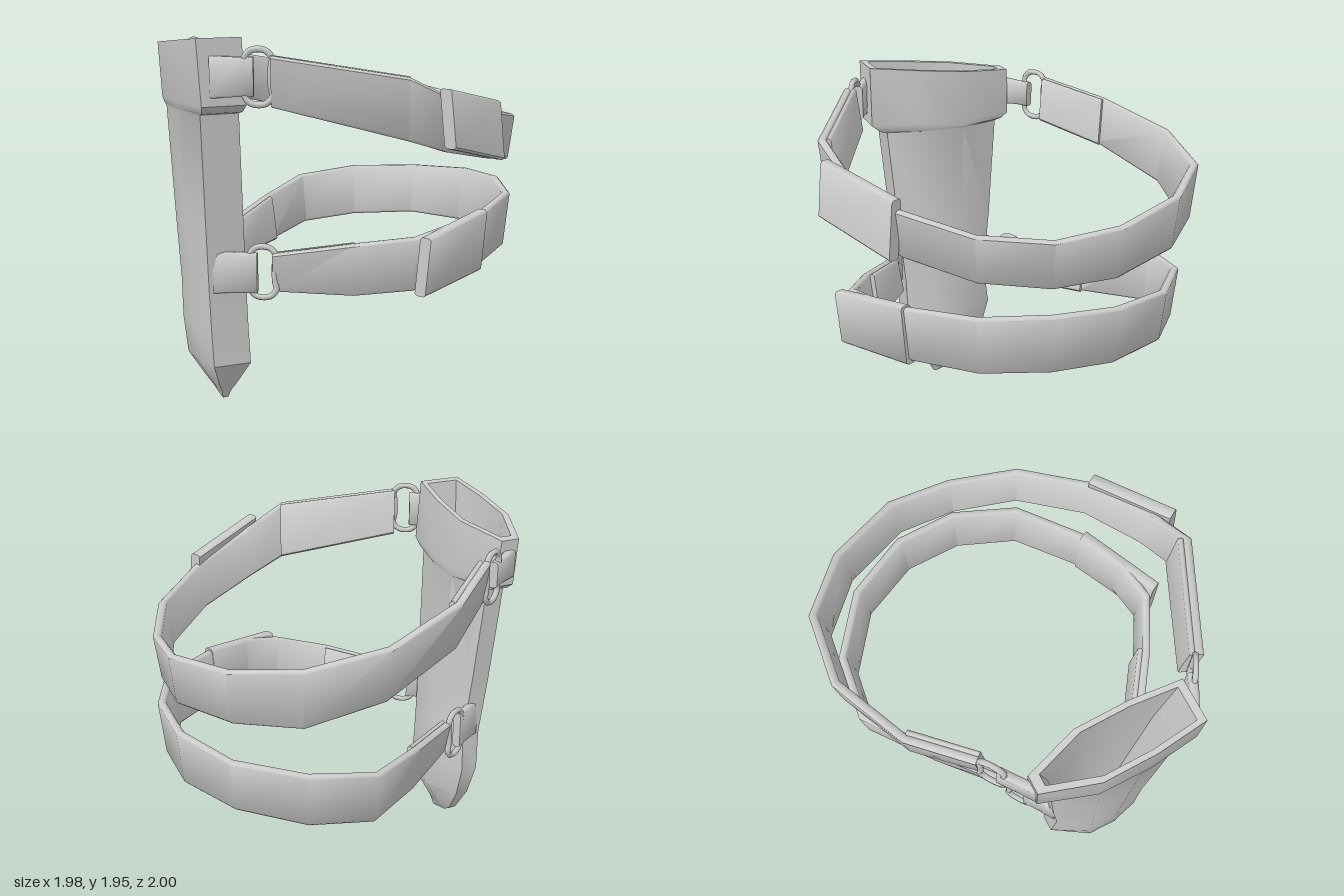
import * as THREE from 'three';
import { toCreasedNormals } from 'three/addons/utils/BufferGeometryUtils.js';

const material = new THREE.MeshStandardMaterial({ color: 0xcccccc });

// Skin a list of equal-length point loops, with a cap at each end
function loft(name, rings, crease) {
  const n = rings[0].length, index = [], last = (rings.length - 1) * n;
  for (let i = 0; i < rings.length - 1; i++) {
    for (let k = 0; k < n; k++) {
      const a = i * n + k, b = i * n + (k + 1) % n, c = b + n, d = a + n;
      index.push(a, c, b, a, d, c);
    }
  }
  for (let k = 1; k < n - 1; k++) {
    index.push(0, k, k + 1, last, last + k + 1, last + k);
  }
  const geometry = new THREE.BufferGeometry();
  geometry.setAttribute('position', new THREE.Float32BufferAttribute(rings.flat(2), 3));
  geometry.setIndex(index);
  const mesh = new THREE.Mesh(toCreasedNormals(geometry, crease), material);
  mesh.name = name;
  return mesh;
}

// Soft-edged band along rows of [x, z, top, bottom];
// lean moves its lower edge inward, inset moves the whole band inward
function band(name, rows, thickness, lean = 0, inset = 0) {
  const bevel = 0.012;
  const rings = rows.map(([x, z, top, bottom], i) => {
    const p = rows[Math.max(i - 1, 0)], q = rows[Math.min(i + 1, rows.length - 1)];
    const length = Math.hypot(q[0] - p[0], q[1] - p[1]);
    const nx = -(q[1] - p[1]) / length, nz = (q[0] - p[0]) / length;
    const at = (d, y) => [x + nx * (inset + d), y, z + nz * (inset + d)];
    return [
      at(bevel, top), at(0, top - bevel),
      at(lean, bottom + bevel), at(lean + bevel, bottom),
      at(lean + thickness - bevel, bottom), at(lean + thickness, bottom + bevel),
      at(thickness, top - bevel), at(thickness - bevel, top)];
  });
  return loft(name, rings, 0.9);
}

// Long strap with its two ends folded back on the inside
function strap(name, rows) {
  const group = new THREE.Group();
  group.name = name;
  group.add(band('strapBand', rows, 0.045, 0.03));
  for (const end of [rows.slice(0, 2), rows.slice(-2)]) {
    group.add(band('foldedEnd', end, 0.03, 0.03, 0.04));
  }
  return group;
}

// Eight-sided sheath section; slope drops the back edge of the mouth
function section(y, cx, front, back, wf, wm, wb, slope = 0) {
  const l = front - back, z1 = front - 0.32 * l, z2 = front - 0.66 * l;
  return [[-wf, front], [wf, front], [wm, z1], [wm, z2],
    [wb, back], [-wb, back], [-wm, z2], [-wm, z1]]
    .map(([x, z]) => [cx + x, y + slope * (z - front), z]);
}

// Wire link with straight bars and arched ends, turned to follow its strap
function ring(name, x, y, z, dx, dz) {
  const s = 1 / Math.hypot(dx, dz);
  const outline = [[0.06, 0], [0.062, 0.05], [0.068, 0.09], [0.035, 0.128],
    [-0.035, 0.128], [-0.068, 0.09], [-0.062, 0.05], [-0.06, 0], [-0.062, -0.05],
    [-0.068, -0.09], [-0.035, -0.128], [0.035, -0.128], [0.068, -0.09], [0.062, -0.05]];
  const curve = new THREE.CatmullRomCurve3(
    outline.map(([u, v]) => new THREE.Vector3(u * dx * s, v, u * dz * s)), true);
  const mesh = new THREE.Mesh(new THREE.TubeGeometry(curve, 40, 0.016, 6, true), material);
  mesh.position.set(x, y, z);
  mesh.name = name;
  return mesh;
}

export function createModel() {
  const model = new THREE.Group();

  // Hollow sheath: cavity, rim, collar, tapering body, pointed tip
  model.add(loft('sheath', [
    section(0.40, -0.76, 0.26, -0.16, 0.08, 0.115, 0.03),
    section(1.55, -0.82, 0.36, -0.26, 0.085, 0.12, 0.03),
    section(1.945, -0.845, 0.435, -0.325, 0.09, 0.116, 0.03, 0.1),
    section(1.95, -0.845, 0.475, -0.375, 0.115, 0.145, 0.05, 0.1),
    section(1.62, -0.825, 0.48, -0.37, 0.115, 0.15, 0.055, 0.01),
    section(1.58, -0.82, 0.43, -0.33, 0.105, 0.145, 0.05),
    section(1.57, -0.82, 0.39, -0.29, 0.1, 0.14, 0.05),
    section(1.00, -0.79, 0.345, -0.24, 0.1, 0.142, 0.05),
    section(0.65, -0.77, 0.315, -0.2, 0.1, 0.144, 0.05),
    section(0.43, -0.76, 0.31, -0.225, 0.1, 0.145, 0.045),
    section(0.24, -0.75, 0.31, -0.17, 0.1, 0.143, 0.035),
    section(0.09, -0.74, 0.195, -0.08, 0.045, 0.06, 0.02),
    section(0.045, -0.737, 0.16, -0.02, 0.025, 0.033, 0.015),
    section(0.0, -0.735, 0.135, 0.11, 0.015, 0.015, 0.012),
  ], 0.6));

  // Straps, from the back link round the far side to the front link
  model.add(strap('upperStrap', [
    [-0.63, -0.565, 1.84, 1.60], [-0.35, -0.82, 1.76, 1.50], [0.10, -1.0, 1.67, 1.38],
    [0.52, -0.95, 1.605, 1.29], [0.81, -0.69, 1.54, 1.25], [0.985, -0.30, 1.485, 1.21],
    [0.975, 0.05, 1.45, 1.195], [0.85, 0.41, 1.48, 1.23], [0.56, 0.71, 1.55, 1.30],
    [0.22, 0.88, 1.65, 1.38], [-0.05, 0.94, 1.77, 1.46], [-0.65, 0.65, 1.87, 1.62],
  ]));
  model.add(strap('lowerStrap', [
    [-0.56, -0.365, 0.84, 0.65], [-0.22, -0.67, 0.91, 0.65], [0.12, -0.935, 0.97, 0.68],
    [0.48, -0.89, 1.01, 0.71], [0.80, -0.65, 1.03, 0.74], [0.97, -0.30, 1.055, 0.745],
    [0.975, 0.05, 1.065, 0.75], [0.84, 0.40, 1.05, 0.74], [0.53, 0.67, 1.02, 0.72],
    [0.28, 0.80, 1.0, 0.71], [0.04, 0.84, 0.96, 0.68], [-0.24, 0.69, 0.92, 0.645],
    [-0.58, 0.455, 0.85, 0.645],
  ]));

  // Flat buckle plates on the front of the straps
  model.add(band('upperBuckle', [
    [0.57, 0.73, 1.605, 1.30], [0.15, 0.975, 1.71, 1.42]], 0.065, -0.03));
  model.add(band('lowerBuckle', [
    [0.53, 0.69, 1.03, 0.70], [0.08, 0.92, 0.97, 0.665]], 0.065, 0.03));

  // Links and the short tabs holding them to the sheath
  model.add(ring('upperFrontRing', -0.685, 1.765, 0.58, 0.17, 0.1));
  model.add(ring('upperBackRing', -0.675, 1.73, -0.505, 0.17, -0.12));
  model.add(ring('lowerFrontRing', -0.61, 0.75, 0.405, 0.15, 0.09));
  model.add(ring('lowerBackRing', -0.60, 0.75, -0.325, 0.15, -0.1));
  model.add(band('upperFrontTab', [
    [-0.71, 0.58, 1.86, 1.67], [-0.78, 0.55, 1.86, 1.67], [-0.90, 0.485, 1.865, 1.66]], 0.05));
  model.add(band('upperBackTab', [
    [-0.88, -0.375, 1.81, 1.65], [-0.78, -0.45, 1.80, 1.66], [-0.71, -0.5, 1.80, 1.66]], 0.05));
  model.add(band('lowerFrontTab', [
    [-0.645, 0.41, 0.85, 0.64], [-0.72, 0.37, 0.85, 0.64], [-0.85, 0.325, 0.86, 0.64]], 0.045));
  model.add(band('lowerBackTab', [
    [-0.80, -0.21, 0.86, 0.64], [-0.72, -0.26, 0.85, 0.64], [-0.64, -0.315, 0.85, 0.64]], 0.045));

  return model;
}
